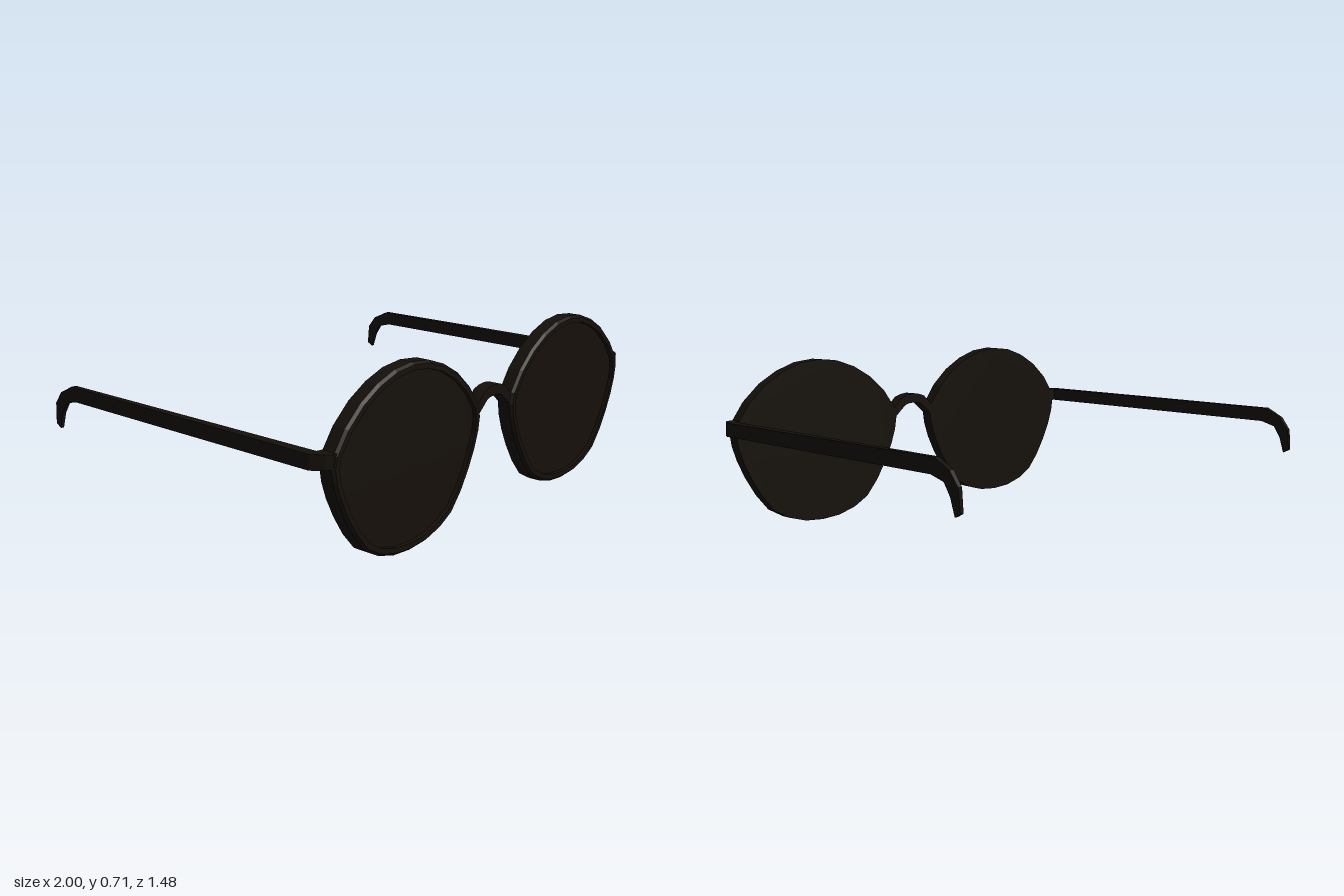
import * as THREE from 'three';

const material = new THREE.MeshStandardMaterial({ color: 0x15100a, flatShading: true });

// Skin a row of equal-sized rings; rings turn counter-clockwise about the direction of travel.
function loft(rings, capped) {
  const pos = [];
  const tri = (a, b, c) => pos.push(...a, ...b, ...c);
  for (let i = 0; i < rings.length - 1; i++) {
    const r = rings[i], q = rings[i + 1], n = r.length;
    for (let j = 0; j < n; j++) {
      const k = (j + 1) % n;
      tri(r[j], r[k], q[k]);
      tri(r[j], q[k], q[j]);
    }
  }
  if (capped) {
    const a = rings[0], b = rings[rings.length - 1];
    for (let j = 1; j < a.length - 1; j++) {
      tri(a[0], a[j + 1], a[j]);
      tri(b[0], b[j], b[j + 1]);
    }
  }
  const g = new THREE.BufferGeometry();
  g.setAttribute('position', new THREE.Float32BufferAttribute(pos, 3));
  g.computeVertexNormals();
  return g;
}

function add(parent, name, geometry) {
  const mesh = new THREE.Mesh(geometry, material);
  mesh.name = name;
  parent.add(mesh);
}

const toShape = (points) => new THREE.Shape(points.map(([x, y]) => new THREE.Vector2(x, y)));

// Right half of the rim outline from bottom to top, about the lens centre line.
const HALF = [
  [0, 0.002], [0.09, 0.009], [0.176, 0.034], [0.248, 0.074], [0.308, 0.145], [0.357, 0.225],
  [0.393, 0.3], [0.415, 0.365], [0.424, 0.42], [0.414, 0.465], [0.356, 0.546],
  [0.276, 0.617], [0.188, 0.667], [0.095, 0.699], [0, 0.709],
];
const OUTLINE = [...HALF, ...HALF.slice(1, -1).reverse().map(([x, y]) => [-x, y])];
const BACK = 0.675, FRONT = 0.739, PANE = 0.722, RIM = 0.03;

// The outline drawn in by a margin, at depth z.
function outlineRing(inset, z) {
  const kx = 1 - inset / 0.424, ky = 1 - inset / 0.353;
  return OUTLINE.map(([x, y]) => [x * kx, 0.355 + (y - 0.355) * ky, z]);
}

// Temple arm: rounded end piece, tapering bar and a hook behind the ear; side is +1 or -1.
function templeGeometry(side) {
  // inner x, outer x, top y, top z, bottom y, bottom z
  const stations = [
    [0.915, 0.945, 0.473, 0.735, 0.42, 0.735],
    [0.92, 0.97, 0.474, 0.718, 0.419, 0.718],
    [0.93, 0.998, 0.475, 0.675, 0.418, 0.675],
    [0.957, 1.0, 0.475, 0.668, 0.418, 0.668],
    [0.968, 0.999, 0.477, -0.05, 0.418, -0.05],
    [0.976, 0.997, 0.478, -0.615, 0.418, -0.595],
    [0.977, 0.996, 0.442, -0.69, 0.4, -0.66],
    [0.978, 0.995, 0.39, -0.73, 0.353, -0.69],
    [0.979, 0.993, 0.302, -0.738, 0.287, -0.71],
  ];
  return loft(stations.map(([xi, xo, yt, zt, yb, zb]) => {
    const ring = [[xo, yt, zt], [xo, yb, zb], [xi, yb, zb], [xi, yt, zt]]
      .map(([x, y, z]) => [x * side, y, z]);
    return side > 0 ? ring : ring.reverse();
  }), true);
}

// Arched nose bridge, extruded from back to front.
function bridgeGeometry() {
  const top = [[0.12, 0.46], [0.107, 0.468], [0.066, 0.507], [0.035, 0.517], [0, 0.521]];
  const under = [[0, 0.479], [0.03, 0.476], [0.05, 0.469], [0.107, 0.42], [0.12, 0.42]];
  const mirror = (list) => list.map(([x, y]) => [-x, y]).reverse();
  const points = [...top, ...mirror(top).slice(1), ...mirror(under), ...under.slice(1)];
  return new THREE.ExtrudeGeometry(toShape(points), { depth: 0.053, bevelEnabled: false })
    .translate(0, 0, BACK);
}

export function createModel() {
  const model = new THREE.Group();
  model.name = 'glasses';

  // Rim with a chamfered front edge and a lip down to the lens
  const rim = loft([
    outlineRing(RIM, BACK), outlineRing(0, BACK), outlineRing(0, 0.728),
    outlineRing(0.01, FRONT), outlineRing(RIM, FRONT), outlineRing(RIM, PANE),
  ], false);
  // Lens faces: set in slightly at the front, flush at the back
  const pane = new THREE.ShapeGeometry(toShape(outlineRing(RIM, 0)));
  const lensFront = pane.clone().translate(0, 0, PANE);
  const lensBack = pane.clone().rotateY(Math.PI).translate(0, 0, BACK);

  for (const [side, label] of [[1, 'left'], [-1, 'right']]) {
    const eye = new THREE.Group();
    eye.name = label + 'Eyepiece';
    eye.position.x = side * 0.527;
    add(eye, label + 'Rim', rim);
    add(eye, label + 'LensFront', lensFront);
    add(eye, label + 'LensBack', lensBack);
    model.add(eye);
    add(model, label + 'Temple', templeGeometry(side));
  }
  add(model, 'bridge', bridgeGeometry());
  return model;
}
